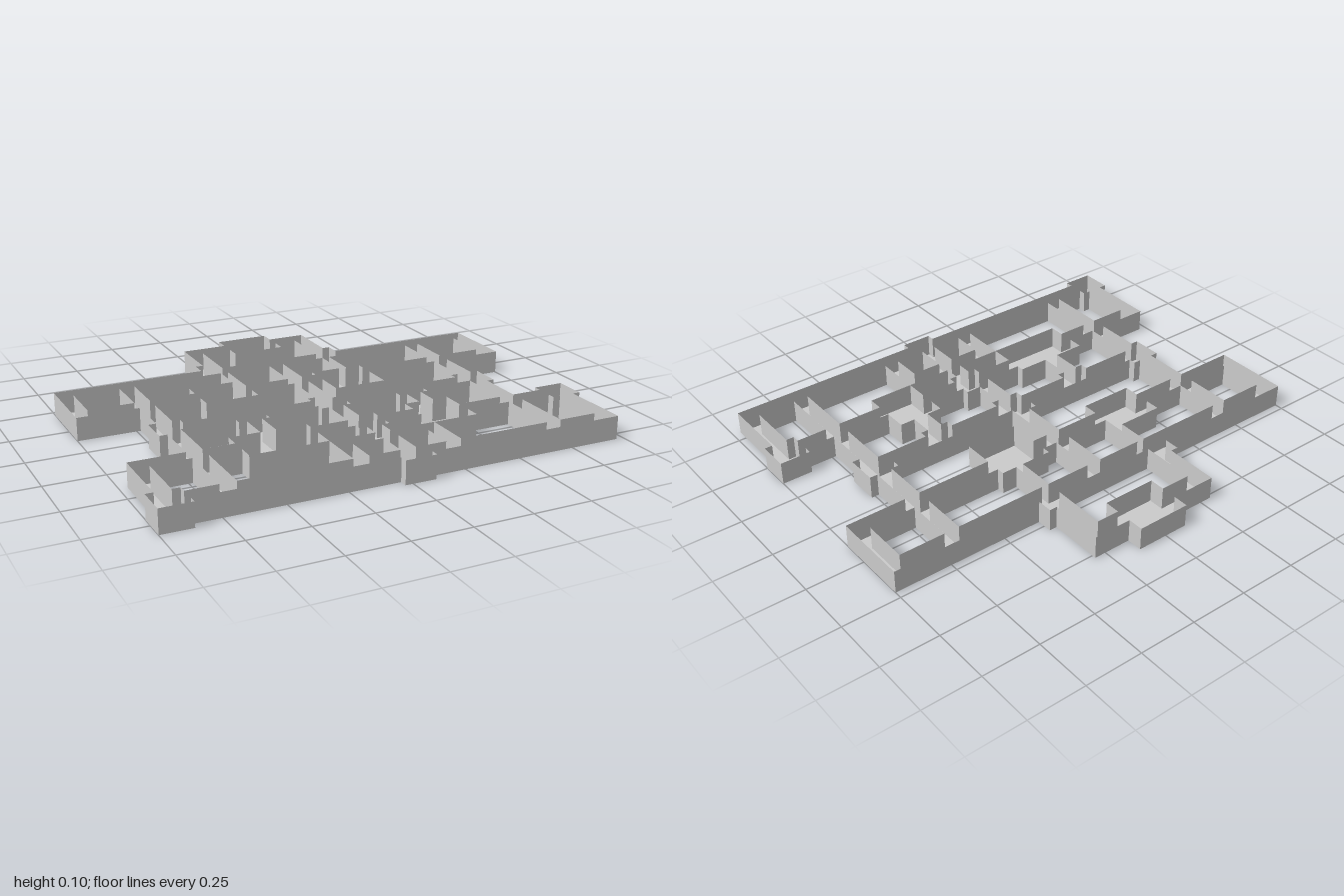
import * as THREE from 'three';
import { mergeGeometries } from 'three/addons/utils/BufferGeometryUtils.js';

// Open-topped maze: floor plan on a cell grid, with a thin wall along every outer edge.
const U = 1 / 30, H = 0.1, NX = 30, NZ = 25;

// Each plan is a list of rectangles [x0, x1, z0, z1] in cells.
const rooms = [
  [-3, 4, -25, -19],
  [-14, -7, -8, -2], [3, 10, -7, 0],
  [-16, -6, 10, 16], [8, 14, 9, 16],
];
const crossCorridors = [
  [-9, 9, -23, -21],
  [-30, 30, -14, -12], [-30, 30, -6, -4],
  [-22, 22, 3, 5],
  [-6, 8, 11, 13],
  [-29, -16, 12, 14], [14, 30, 12, 14],
  [-6, 8, 16, 18], [-30, 29, 22, 24],
];
const longCorridors = [
  [-9, -7, -23, -14], [7, 9, -23, -14],
  [-30, -28, -14, -4], [28, 30, -14, -4],
  [-22, -20, -14, 24], [20, 22, -14, 24],
  [-1, 1, -14, 11], [0, 2, 14, 24],
  [-8, -7, -12, -8], [7, 8, -12, -7],
  [-12, -10, 5, 10], [10, 12, 5, 9],
  [-29, -27, 12, 24], [27, 29, 12, 24],
  [-6, -4, 16, 24], [6, 8, 16, 24],
];
const junctions = [
  [-10, -7, -16, -14], [7, 10, -16, -14],
  [-23, -20, 2, 6], [-20, -19, 2, 4], [20, 23, 2, 6], [19, 20, 2, 4],
  [-2, -1, 2, 6], [1, 2, 3, 6],
  [-13, -9, 5, 6], [9, 13, 5, 6],
  [-1, 3, 10, 14], [-30, -26, 21, 25], [26, 30, 11, 15], [-1, 3, 24, 25],
];
const plan = [...rooms, ...crossCorridors, ...longCorridors, ...junctions];

const filled = (x, z) =>
  plan.some(([x0, x1, z0, z1]) => x >= x0 && x < x1 && z >= z0 && z < z1);

// Calls emit(start, end) for each unbroken run where test(i) keeps one non-zero value.
function runs(from, to, test, emit) {
  let start = from, value = 0;
  for (let i = from; i <= to; i++) {
    const v = i < to ? test(i) : 0;
    if (v === value) continue;
    if (value) emit(start, i, value);
    start = i;
    value = v;
  }
}

export function createModel() {
  const group = new THREE.Group();
  const material = new THREE.MeshStandardMaterial({ color: 0xcccccc, side: THREE.DoubleSide });
  const floors = [], walls = [];

  // Floor: one strip per run of filled cells
  for (let z = -NZ; z < NZ; z++) {
    runs(-NX, NX, (x) => (filled(x, z) ? 1 : 0), (a, b) => {
      floors.push(new THREE.PlaneGeometry((b - a) * U, U)
        .rotateX(-Math.PI / 2)
        .translate((a + b) / 2 * U, 0, (z + 0.5) * U));
    });
  }

  // Walls across x, where a filled cell meets an empty one in z
  for (let z = -NZ; z <= NZ; z++) {
    runs(-NX, NX, (x) => filled(x, z - 1) - filled(x, z), (a, b, side) => {
      walls.push(new THREE.PlaneGeometry((b - a) * U, H)
        .rotateY(side > 0 ? 0 : Math.PI)
        .translate((a + b) / 2 * U, H / 2, z * U));
    });
  }

  // Walls along z, where a filled cell meets an empty one in x
  for (let x = -NX; x <= NX; x++) {
    runs(-NZ, NZ, (z) => filled(x - 1, z) - filled(x, z), (a, b, side) => {
      walls.push(new THREE.PlaneGeometry((b - a) * U, H)
        .rotateY(side * Math.PI / 2)
        .translate(x * U, H / 2, (a + b) / 2 * U));
    });
  }

  for (const [name, parts] of [['floor', floors], ['walls', walls]]) {
    const mesh = new THREE.Mesh(mergeGeometries(parts), material);
    mesh.name = name;
    group.add(mesh);
  }
  group.name = 'maze';
  return group;
}
